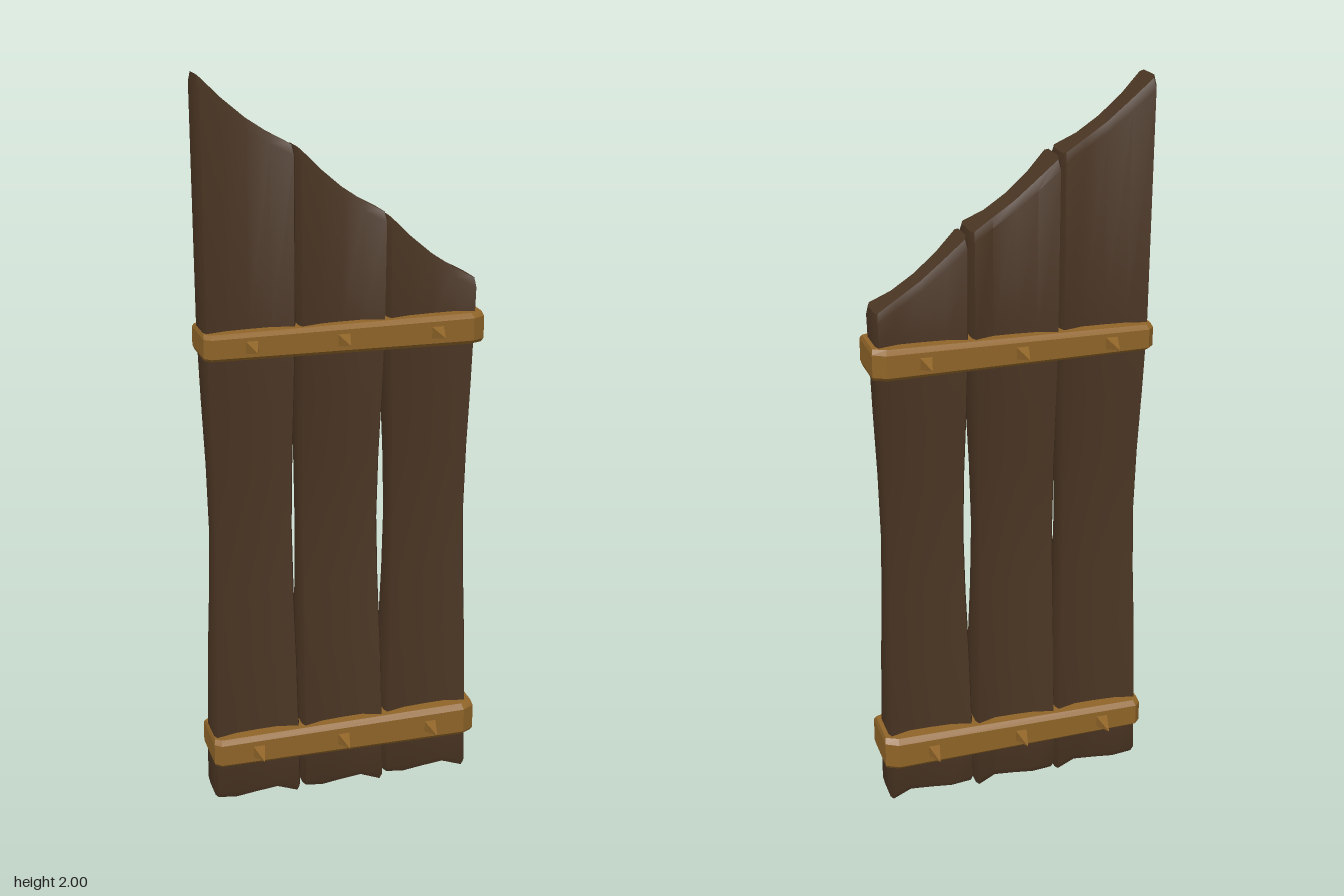
import * as THREE from 'three';
import { toCreasedNormals } from 'three/addons/utils/BufferGeometryUtils.js';

const wood = new THREE.MeshStandardMaterial({ color: 0x4a3523 });
const brass = new THREE.MeshStandardMaterial({ color: 0x8f6428 });

// Skins a stack of closed rings (front half left to right, then back half right to left).
function loft(rings, crease) {
  const n = rings[0].length, pos = rings.flat(2), index = [];
  const quad = (a, b, c, d) => index.push(a, b, c, a, c, d);
  for (let r = 0; r < rings.length - 1; r++) {
    for (let i = 0; i < n; i++) {
      const j = (i + 1) % n;
      quad(r * n + i, r * n + j, (r + 1) * n + j, (r + 1) * n + i);
    }
  }
  const top = (rings.length - 1) * n;
  for (let i = 0; i < n / 2 - 1; i++) {
    const a = i, b = i + 1, c = n - 2 - i, d = n - 1 - i;
    quad(d, c, b, a);
    quad(top + a, top + b, top + c, top + d);
  }
  const geo = new THREE.BufferGeometry();
  geo.setAttribute('position', new THREE.Float32BufferAttribute(pos, 3));
  geo.setIndex(index);
  return toCreasedNormals(geo, crease);
}

// Mirrors a front outline of [x, z] pairs to the back.
const mirrorZ = (half) => [...half, ...half.map(([x, z]) => [x, -z]).reverse()];

function part(name, geo, material) {
  const mesh = new THREE.Mesh(geo, material);
  mesh.name = name;
  return mesh;
}

// Plank section: raised edges, hollow face (u across, w share of edge thickness)
const SECTION = mirrorZ([[-1, 0.72], [-0.95, 1], [-0.5, 0.77], [0, 0.72], [0.5, 0.72], [0.95, 1], [1, 0.72]]);

// Waisted plank, cut at a slant on top
function plank({ ends, waist, slant, thick }) {
  const ring = (yAt, pinch, scale = 1) => SECTION.map(([u, w]) => {
    const f = (u + 1) / 2;
    const l = THREE.MathUtils.lerp(ends[0], waist[0], pinch);
    const r = THREE.MathUtils.lerp(ends[1], waist[1], pinch);
    const x = (l + r) / 2 + (r - l) / 2 * u * (scale < 1 ? 0.97 : 1);
    const z = w * scale * THREE.MathUtils.lerp(thick, 0.036, pinch);
    return [x, yAt(f), z];
  });
  const cut = (f) => THREE.MathUtils.lerp(slant[0], slant[1], f) - 0.018 * Math.sin(Math.PI * f);
  const foot = (f) => 0.008 + 0.008 * Math.cos(f * Math.PI * 3);
  const rings = [ring(foot, 0, 0.82), ring((f) => foot(f) + 0.02, 0)];
  for (const [y, pinch] of [[0.2, 0.12], [0.42, 0.4], [0.62, 0.8], [0.8, 1], [0.98, 0.8], [1.16, 0.42], [1.34, 0.12]]) {
    rings.push(ring(() => y, pinch));
  }
  rings.push(ring((f) => cut(f) - 0.025, 0), ring(cut, 0, 0.82));
  return loft(rings, 0.6);
}

// Bevelled strap, slightly taller towards the left end of the model
function strap(height) {
  const outline = mirrorZ([[-0.379, 0.07], [-0.362, 0.087], [0.345, 0.087], [0.379, 0.068]]);
  const ring = (k, s) => outline.map(([x, z]) => [x * (s < 1 ? 0.99 : 1), k * height * (1 + x * 0.25), z * s]);
  return loft([ring(-0.5, 0.84), ring(-0.36, 1), ring(0.36, 1), ring(0.5, 0.84)], 0.1);
}

export function createModel() {
  const model = new THREE.Group();
  model.name = 'plankFence';

  const planks = [
    { ends: [-0.376, -0.129], waist: [-0.358, -0.142], slant: [2.0, 1.82], thick: 0.058 },
    { ends: [-0.124, 0.113], waist: [-0.12, 0.097], slant: [1.815, 1.64], thick: 0.066 },
    { ends: [0.117, 0.365], waist: [0.134, 0.35], slant: [1.63, 1.45], thick: 0.058 },
  ];
  planks.forEach((p, i) => model.add(part('plank' + (i + 1), plank(p), wood)));

  // Four-sided spike pointing along +z
  const spike = new THREE.ConeGeometry(0.024, 0.065, 4, 1).toNonIndexed();
  spike.rotateY(Math.PI / 4).rotateX(Math.PI / 2);
  spike.computeVertexNormals();

  for (const [name, y, height] of [['lowerStrap', 0.165, 0.09], ['upperStrap', 1.322, 0.077]]) {
    const group = new THREE.Group();
    group.name = name;
    group.position.y = y;
    group.add(part('band', strap(height), brass));
    for (const x of [-0.257, -0.013, 0.243]) {
      for (const side of [1, -1]) {
        const s = part('spike', spike, brass);
        s.position.set(x, 0, side * 0.115);
        if (side < 0) s.rotation.y = Math.PI;
        group.add(s);
      }
    }
    model.add(group);
  }
  return model;
}
